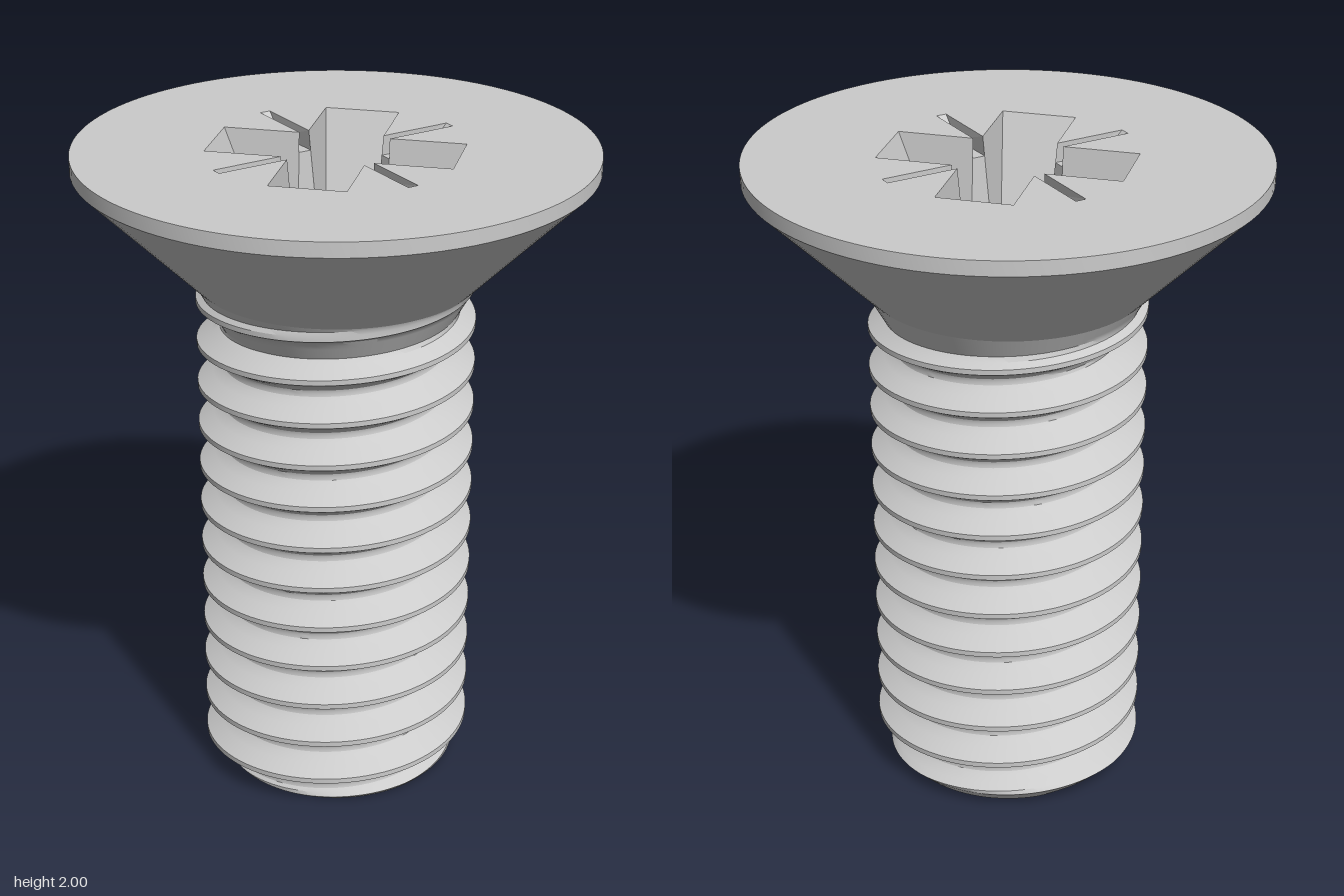
import * as THREE from 'three';
import { toCreasedNormals } from 'three/addons/utils/BufferGeometryUtils.js';

const SEG = 96, TOP = 2, HEAD_R = 0.765, NECK_Y = 1.61;
const PITCH = 0.1336, CREST_R = 0.415, ROOT_R = 0.335, ROUND = 0.0218;
const FLOOR_Y = 1.64, SLOT_Y = 1.94, DRILL_R = 0.15;

const material = new THREE.MeshStandardMaterial({ color: 0xcccccc });

function add(group, name, geometry) {
  const mesh = new THREE.Mesh(geometry, material);
  mesh.name = name;
  group.add(mesh);
}

// Height of a thread crest at an angle (right-handed helix)
const crestY = (angle) => 0.137 - (PITCH * angle) / (2 * Math.PI);

// Radius of the shank: 60 degree thread, chamfered tip, run-out under the head
function shankRadius(y, angle) {
  const turns = (y - crestY(angle)) / PITCH;
  const d = Math.abs(turns - Math.round(turns)) * PITCH;
  let r = CREST_R;
  if (d > 0.0479) r = ROOT_R + ROUND - Math.sqrt(ROUND ** 2 - (PITCH / 2 - d) ** 2);
  else if (d > 0.008) r = CREST_R - (d - 0.008) * 1.732;
  r = Math.max(r, 0.375 + (y - 1.53) * 0.56);
  return Math.min(r, 0.345 + y);
}

// Rows follow the helix, so the crests stay crisp
function threadedShank() {
  const offsets = [-0.008, 0.008, 0.021, 0.035, 0.0479, 0.057, 0.0668, 0.0766, 0.0857, 0.099, 0.112];
  const rows = [];
  for (let i = -2; i <= 12; i++) for (const o of offsets) rows.push(i * PITCH + o);
  const n = rows.length, pos = [], index = [];
  for (let j = 0; j <= SEG; j++) {
    const angle = (j / SEG) * 2 * Math.PI;
    for (const row of rows) {
      const y = THREE.MathUtils.clamp(crestY(angle) + row, 0, NECK_Y);
      const r = shankRadius(y, angle);
      pos.push(r * Math.cos(angle), y, r * Math.sin(angle));
    }
  }
  const centre = pos.length / 3;
  pos.push(0, 0, 0);
  for (let j = 0; j < SEG; j++) {
    for (let k = 0; k < n - 1; k++) {
      const a = j * n + k, b = a + n;
      index.push(a, a + 1, b + 1, a, b + 1, b);
    }
    index.push(centre, j * n, (j + 1) * n); // flat tip
  }
  const geometry = new THREE.BufferGeometry();
  geometry.setAttribute('position', new THREE.Float32BufferAttribute(pos, 3));
  geometry.setIndex(index);
  return toCreasedNormals(geometry, 0.5);
}

const lathe = (points) =>
  toCreasedNormals(new THREE.LatheGeometry(points.map(([r, y]) => new THREE.Vector2(r, y)), SEG), 0.5);

// Repeat a quarter outline four times round the axis
function fourTimes(points) {
  const out = [];
  for (let q = 0; q < 4; q++) {
    for (const [x, y] of points) {
      out.push(new THREE.Vector2(x, y).rotateAround(new THREE.Vector2(), (q * Math.PI) / 2));
    }
  }
  return out;
}

// Flat face in the plan, with a hole, laid at a height
function flatFace(shape, hole, height) {
  shape.holes.push(hole);
  return new THREE.ShapeGeometry(shape, SEG).rotateX(-Math.PI / 2).translate(0, height, 0);
}

const circle = (r) => new THREE.Shape().absarc(0, 0, r, 0, Math.PI * 2, false);

// Quarter outlines of the cross recess: arm end, then the cut corner with its slot
const rim = [[0.362, -0.112], [0.362, 0.112], [0.135, 0.112], [0.112, 0.135]];
const floor = [[0.217, -0.08], [0.217, 0.08], [0.135, 0.08], [0.08, 0.135]];
const slotTop = [[0.292, 0.269], [0.269, 0.292]];
const slotLow = [[0.251, 0.228], [0.228, 0.251]];

// Tapered walls of the cross and the four diagonal slots
function recessWalls() {
  const pos = [];
  const at = ([x, y], h) => new THREE.Vector3(x, y, h);
  const quad = (a, b, c, d) => [a, b, c, a, c, d].forEach((v) => pos.push(v.x, v.y, v.z));
  const top = rim.map((p) => at(p, TOP)), low = floor.map((p) => at(p, FLOOR_Y));
  const [a, b] = slotTop.map((p) => at(p, TOP));
  const [aLow, bLow] = slotLow.map((p) => at(p, SLOT_Y));
  const t = (TOP - SLOT_Y) / (TOP - FLOOR_Y);
  const p = top[2].clone().lerp(low[2], t), q = top[3].clone().lerp(low[3], t);
  const turn = ([x, y], h) => at([-y, x], h);

  quad(top[0], top[1], low[1], low[0]); // arm end
  quad(top[1], top[2], low[2], low[1]); // arm sides
  quad(top[3], turn(rim[0], TOP), turn(floor[0], FLOOR_Y), low[3]);
  quad(p, q, low[3], low[2]); // corner below the slot
  quad(top[2], a, aLow, p); // slot sides, end and floor
  quad(a, b, bLow, aLow);
  quad(b, top[3], q, bLow);
  quad(p, aLow, bLow, q);

  const geometry = new THREE.BufferGeometry();
  geometry.setAttribute('position', new THREE.Float32BufferAttribute(pos, 3));
  geometry.computeVertexNormals();
  return geometry.rotateX(-Math.PI / 2);
}

export function createModel() {
  const model = new THREE.Group();
  model.name = 'countersunkScrew';

  add(model, 'threadedShank', threadedShank());
  add(model, 'headCone', lathe([[0.42, NECK_Y], [HEAD_R, 1.955], [HEAD_R, TOP]]));

  const rimOutline = fourTimes([...rim.slice(0, 3), ...slotTop, rim[3]]);
  add(model, 'headTop', flatFace(circle(HEAD_R), new THREE.Path(rimOutline), TOP));

  // Cross recess
  const recess = new THREE.Group();
  recess.name = 'driveRecess';
  for (let i = 0; i < 4; i++) add(recess, 'recessWalls', recessWalls().rotateY((i * Math.PI) / 2));
  add(recess, 'recessFloor', flatFace(new THREE.Shape(fourTimes(floor)), circle(DRILL_R), FLOOR_Y));
  add(recess, 'drillPoint', lathe([[DRILL_R, FLOOR_Y], [0, FLOOR_Y - 0.09]]));
  model.add(recess);

  return model;
}
